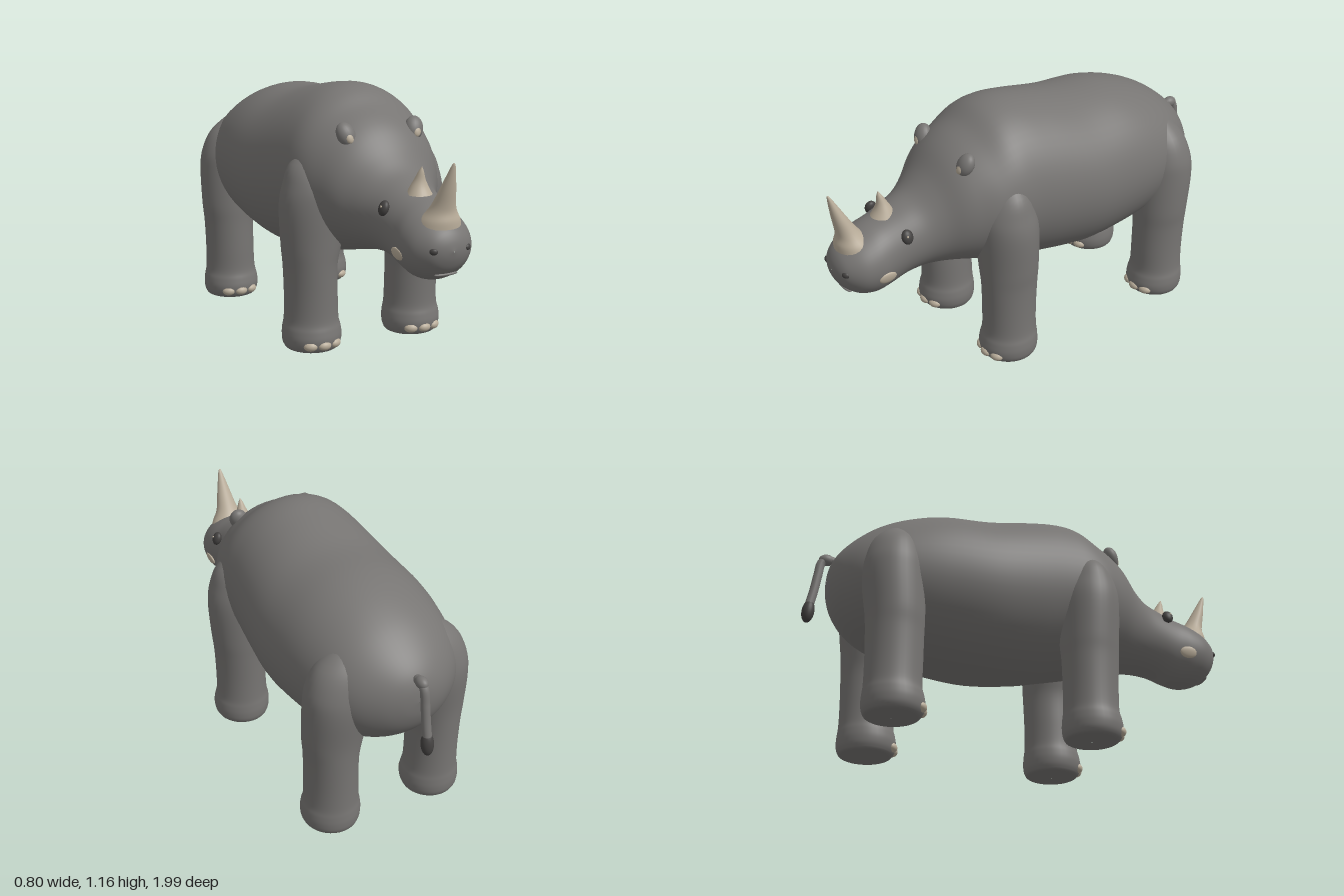
import * as THREE from 'three';

const mat = (name, color) => {
  const m = new THREE.MeshStandardMaterial({ color });
  m.name = name;
  return m;
};

// Catmull-Rom resampling of rows of numbers, column by column
function resample(rows, steps) {
  const out = [], last = rows.length - 1;
  for (let i = 0; i < last; i++) {
    const p = [rows[Math.max(i - 1, 0)], rows[i], rows[i + 1], rows[Math.min(i + 2, last)]];
    for (let s = 0; s < steps; s++) {
      const t = s / steps;
      out.push(p[1].map((b, k) => {
        const a = p[0][k], c = p[2][k], d = p[3][k];
        return b + 0.5 * t * (c - a + t * (2 * a - 5 * b + 4 * c - d + t * (3 * (b - c) + d - a)));
      }));
    }
  }
  out.push(rows[last]);
  return out;
}

// Skin a closed ring of points over each resampled row
function loft(rows, steps, sides, point) {
  const rings = resample(rows, steps), pos = [], idx = [];
  rings.forEach((r) => {
    for (let j = 0; j < sides; j++) pos.push(...point(r, (j / sides) * Math.PI * 2));
  });
  for (let i = 0; i < rings.length - 1; i++) {
    for (let j = 0; j < sides; j++) {
      const k = (j + 1) % sides, a = i * sides, b = a + sides;
      idx.push(a + j, b + j, a + k, a + k, b + j, b + k);
    }
  }
  const g = new THREE.BufferGeometry();
  g.setAttribute('position', new THREE.Float32BufferAttribute(pos, 3));
  g.setIndex(idx);
  g.computeVertexNormals();
  return g;
}

// Upright section: [y, centre x, centre z, radius x, radius z]
const upright = ([y, cx, cz, rx, rz], a) => [cx + rx * Math.cos(a), y, cz + rz * Math.sin(a)];
// Body section: [z, top, bottom, half width]
const bodyRing = ([z, top, bot, hw], a) =>
  [hw * Math.cos(a), (top + bot) / 2 + ((top - bot) / 2) * Math.sin(a), z];

export function createModel() {
  const hide = mat('grey hide', 0x777573);
  const horn = mat('pale horn', 0xb9ad9a);
  const dark = mat('dark detail', 0x434140);
  const model = new THREE.Group();
  model.name = 'rhinoceros';

  const add = (name, geo, material) => {
    const m = new THREE.Mesh(geo, material);
    m.name = name;
    model.add(m);
    return m;
  };
  const blob = (name, material, p, s, rot = [0, 0, 0]) => {
    const m = add(name, new THREE.SphereGeometry(1, 24, 16), material);
    m.position.set(...p);
    m.scale.set(...s);
    m.rotation.set(...rot);
  };

  // Head, neck and trunk in one skin, muzzle to rump
  add('body', loft([
    [1.0, 0.592, 0.588, 0.002], [0.99, 0.635, 0.545, 0.055], [0.965, 0.675, 0.5, 0.1],
    [0.91, 0.715, 0.456, 0.142], [0.84, 0.748, 0.437, 0.156], [0.77, 0.772, 0.445, 0.152],
    [0.69, 0.802, 0.472, 0.16], [0.61, 0.838, 0.483, 0.178], [0.54, 0.9, 0.48, 0.212],
    [0.47, 0.985, 0.47, 0.262], [0.41, 1.035, 0.455, 0.295], [0.33, 1.08, 0.435, 0.33],
    [0.24, 1.138, 0.41, 0.345], [0.14, 1.156, 0.385, 0.35], [0.0, 1.138, 0.355, 0.365],
    [-0.2, 1.1, 0.334, 0.383], [-0.4, 1.088, 0.35, 0.375], [-0.55, 1.052, 0.38, 0.355],
    [-0.68, 0.995, 0.425, 0.32], [-0.78, 0.925, 0.485, 0.255], [-0.85, 0.855, 0.56, 0.165],
    [-0.885, 0.79, 0.64, 0.08], [-0.895, 0.722, 0.718, 0.002],
  ], 5, 56, bodyRing), hide);

  // Legs with rounded feet, widening into the shoulder and hip
  const foot = [
    [0, 0.255, 0, 0.002, 0.002], [0.003, 0.255, 0, 0.1, 0.1], [0.022, 0.257, 0.003, 0.125, 0.127],
    [0.06, 0.257, 0.005, 0.133, 0.135], [0.1, 0.257, 0.003, 0.13, 0.131],
    [0.145, 0.257, 0, 0.121, 0.124], [0.25, 0.258, 0, 0.118, 0.124],
  ];
  const shoulder = [
    [0.38, 0.261, 0, 0.119, 0.129], [0.48, 0.256, 0, 0.134, 0.134], [0.65, 0.248, 0.003, 0.151, 0.138],
    [0.75, 0.228, 0.005, 0.155, 0.13], [0.84, 0.19, 0, 0.16, 0.1], [0.93, 0.15, -0.01, 0.1, 0.05],
  ];
  const hip = [
    [0.38, 0.259, -0.002, 0.121, 0.126], [0.48, 0.254, -0.004, 0.135, 0.13],
    [0.64, 0.24, -0.015, 0.15, 0.138], [0.74, 0.22, -0.015, 0.158, 0.133],
    [0.84, 0.17, -0.01, 0.16, 0.11], [0.93, 0.12, 0, 0.1, 0.05],
  ];
  const legs = [['frontLeg', shoulder, 0.262], ['backLeg', hip, -0.628]];

  for (const s of [1, -1]) {
    const side = s > 0 ? 'Left' : 'Right';
    for (const [name, top, z] of legs) {
      const ring = (r, a) => {
        const p = upright(r, a);
        // Mirrored by moving the centre only, which keeps the winding
        return [p[0] + (s < 0 ? -2 * r[1] : 0), p[1], p[2] + z];
      };
      add(name + side, loft([...foot, ...top], 5, 36, ring), hide);
      // Three toenails around the front of each foot
      for (const a of [-0.52, 0, 0.52]) {
        blob('toenail', horn,
          [s * 0.257 + 0.122 * Math.sin(a), 0.042, z + 0.005 + 0.124 * Math.cos(a)],
          [0.031, 0.021, 0.022], [0, a, 0]);
      }
    }
    // Ears: low grey folds with a pale inside
    blob('ear' + side, hide, [s * 0.168, 0.978, 0.418], [0.042, 0.055, 0.034], [-0.4, 0, -s * 0.3]);
    blob('innerEar' + side, horn, [s * 0.167, 0.97, 0.443], [0.02, 0.028, 0.014], [-0.4, 0, -s * 0.25]);
    // Eyes with a brow ridge, nostrils and cheek patches
    blob('eye' + side, dark, [s * 0.153, 0.722, 0.71], [0.02, 0.033, 0.026], [0, 0, s * 0.35]);
    blob('pupil' + side, horn, [s * 0.17, 0.732, 0.717], [0.004, 0.005, 0.005]);
    blob('nostril' + side, dark, [s * 0.08, 0.594, 0.974], [0.018, 0.014, 0.012], [0, s * 0.6, 0]);
    blob('cheekPatch' + side, horn, [s * 0.149, 0.555, 0.812], [0.01, 0.028, 0.042], [0, 0, -s * 0.25]);
  }

  // Mouth crease
  blob('mouth', hide, [0, 0.484, 0.944], [0.055, 0.008, 0.014]);

  // Nose horns, flared at the base and leaning forward
  add('frontHorn', loft([
    [0.665, 0, 0.878, 0.098, 0.09], [0.7, 0, 0.89, 0.086, 0.078], [0.735, 0, 0.905, 0.064, 0.056],
    [0.77, 0, 0.92, 0.049, 0.044], [0.83, 0, 0.944, 0.035, 0.031], [0.89, 0, 0.966, 0.02, 0.018],
    [0.935, 0, 0.982, 0.008, 0.007], [0.946, 0, 0.986, 0.001, 0.001],
  ], 4, 28, upright), horn);
  add('backHorn', loft([
    [0.77, 0, 0.735, 0.055, 0.055], [0.8, 0, 0.734, 0.04, 0.038], [0.83, 0, 0.738, 0.025, 0.024],
    [0.865, 0, 0.747, 0.012, 0.012], [0.887, 0, 0.753, 0.001, 0.001],
  ], 4, 24, upright), horn);

  // Tail hanging off the rump, with a dark tuft
  const path = new THREE.CatmullRomCurve3([
    [0.8, -0.83], [0.826, -0.885], [0.81, -0.92], [0.74, -0.935], [0.66, -0.948], [0.58, -0.965],
  ].map(([y, z]) => new THREE.Vector3(0, y, z)));
  add('tail', new THREE.TubeGeometry(path, 32, 0.02, 16), hide);
  blob('tailRoot', hide, [0, 0.825, -0.9], [0.025, 0.026, 0.035]);
  blob('tailTuft', dark, [0, 0.558, -0.966], [0.028, 0.055, 0.028], [0.12, 0, 0]);

  return model;
}
